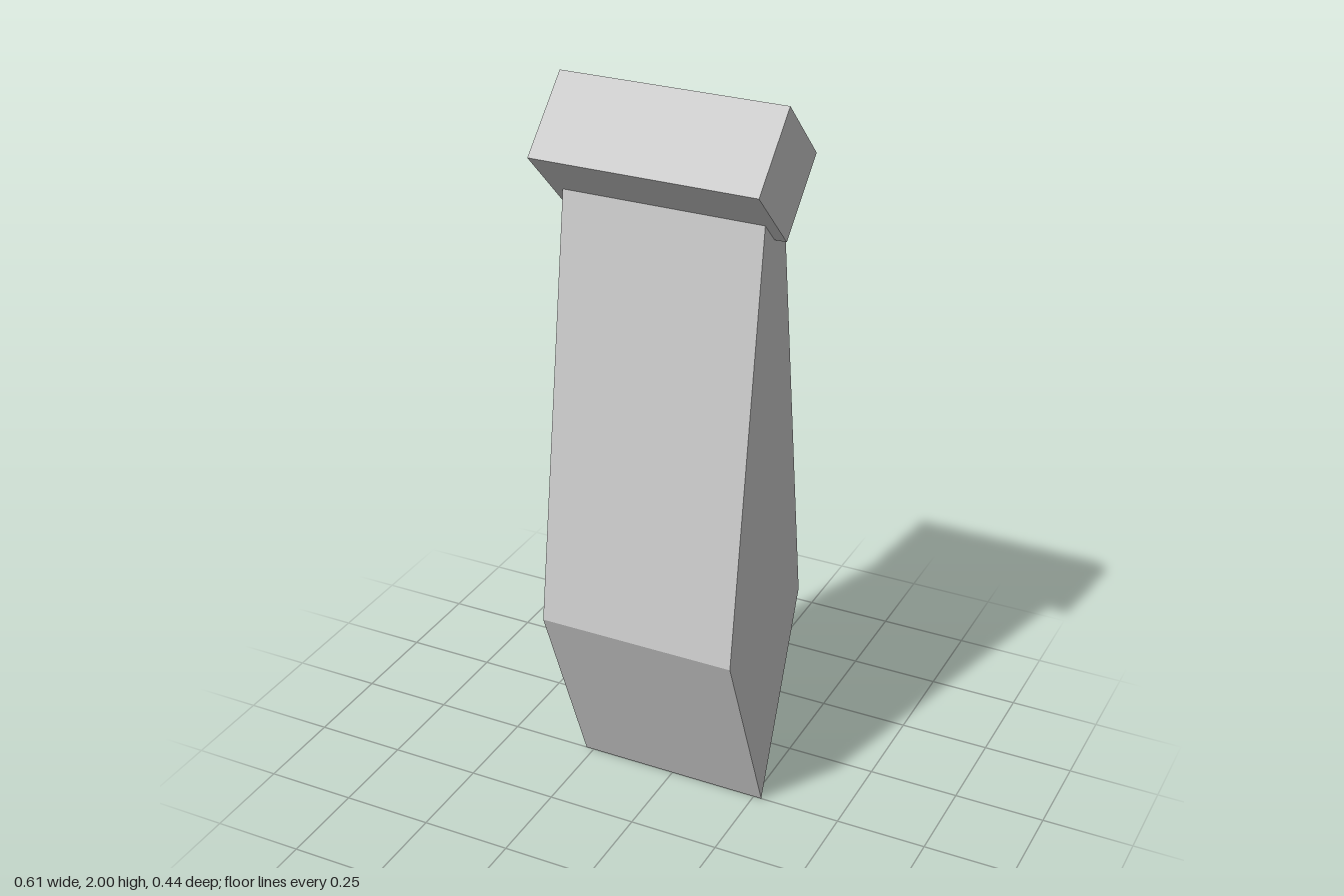
import * as THREE from 'three';

const material = new THREE.MeshStandardMaterial({ color: 0xcccccc, flatShading: true });

// Prism: a side profile of [z, y] points extruded across x, centred on x = 0.
function prism(name, points, width) {
  const shape = new THREE.Shape(points.map(([z, y]) => new THREE.Vector2(z, y)));
  const geometry = new THREE.ExtrudeGeometry(shape, { depth: width, bevelEnabled: false });
  geometry.translate(0, 0, -width / 2);
  geometry.rotateY(Math.PI / 2);
  const mesh = new THREE.Mesh(geometry, material);
  mesh.name = name;
  return mesh;
}

export function createModel() {
  const group = new THREE.Group();
  group.name = 'pendant';

  // Tapered body: pointed at the bottom, widest low down, narrow top tucked into the bar
  group.add(prism('body', [[0, 0], [0.222, 0.557], [0.045, 1.8], [-0.045, 1.8], [-0.222, 0.557]], 0.546));

  // Square crossbar standing on its edge
  group.add(prism('topBar', [[0, 1.66], [0.17, 1.83], [0, 2], [-0.17, 1.83]], 0.61));

  return group;
}
